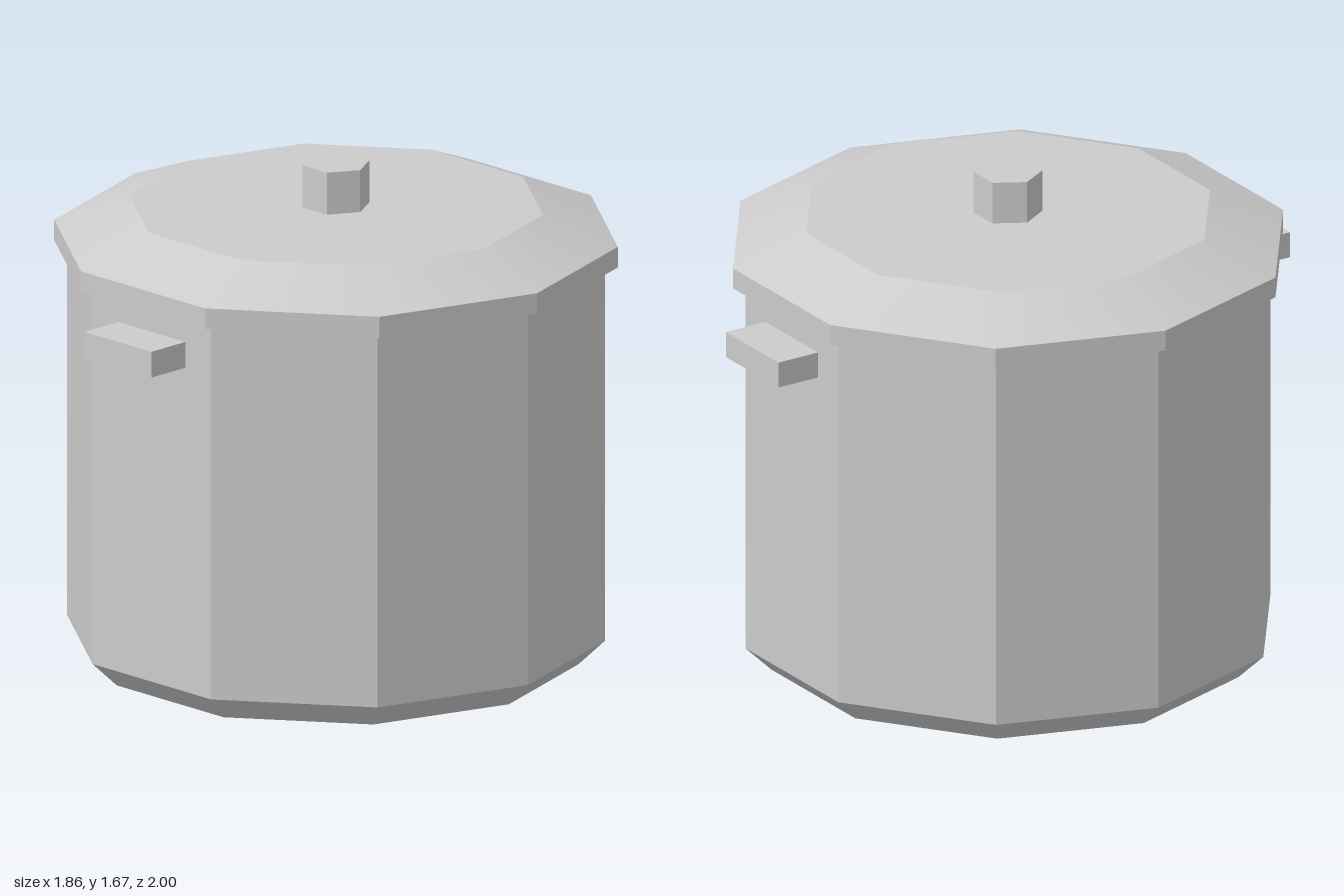
import * as THREE from 'three';

const SIDES = 10;
const flat = new THREE.MeshStandardMaterial({ color: 0xcccccc, flatShading: true });
const smooth = new THREE.MeshStandardMaterial({ color: 0xcccccc });

function part(parent, name, geometry, material = flat) {
  const mesh = new THREE.Mesh(geometry, material);
  mesh.name = name;
  parent.add(mesh);
  return mesh;
}

// Open ten-sided band between two heights, with a corner on the x axis
function band(rBottom, rTop, y0, y1) {
  return new THREE.CylinderGeometry(rTop, rBottom, y1 - y0, SIDES, 1, true, Math.PI / 2)
    .translate(0, (y0 + y1) / 2, 0);
}

// Horizontal ten-sided disc or ring, facing up (1) or down (-1)
function disc(inner, outer, y, facing) {
  const geometry = inner > 0
    ? new THREE.RingGeometry(inner, outer, SIDES)
    : new THREE.CircleGeometry(outer, SIDES);
  return geometry.rotateX(-facing * Math.PI / 2).translate(0, y, 0);
}

export function createModel() {
  const model = new THREE.Group();
  model.name = 'cookingPot';

  // Pot body with a bevelled base
  const body = new THREE.Group();
  body.name = 'body';
  part(body, 'base', disc(0, 0.8, 0, -1));
  part(body, 'baseBevel', band(0.8, 0.888, 0, 0.085), smooth);
  part(body, 'wall', band(0.888, 0.888, 0.085, 1.36));

  // Lid: overhanging rim, sloped shoulder, flat top and six-sided knob
  const lid = new THREE.Group();
  lid.name = 'lid';
  part(lid, 'rimUnderside', disc(0.888, 0.93, 1.36, -1));
  part(lid, 'rim', band(0.93, 0.93, 1.36, 1.43));
  part(lid, 'shoulder', band(0.93, 0.683, 1.43, 1.527), smooth);
  part(lid, 'lidTop', disc(0, 0.683, 1.527, 1));
  part(lid, 'knob', new THREE.CylinderGeometry(0.112, 0.112, 0.143, 6, 1, false, Math.PI / 2))
    .position.y = 1.5985;

  model.add(body, lid);

  // Block handles at front and back
  for (const [name, side] of [['frontHandle', 1], ['backHandle', -1]]) {
    part(model, name, new THREE.BoxGeometry(0.31, 0.088, 0.16))
      .position.set(0, 1.234, side * 0.92);
  }
  return model;
}
